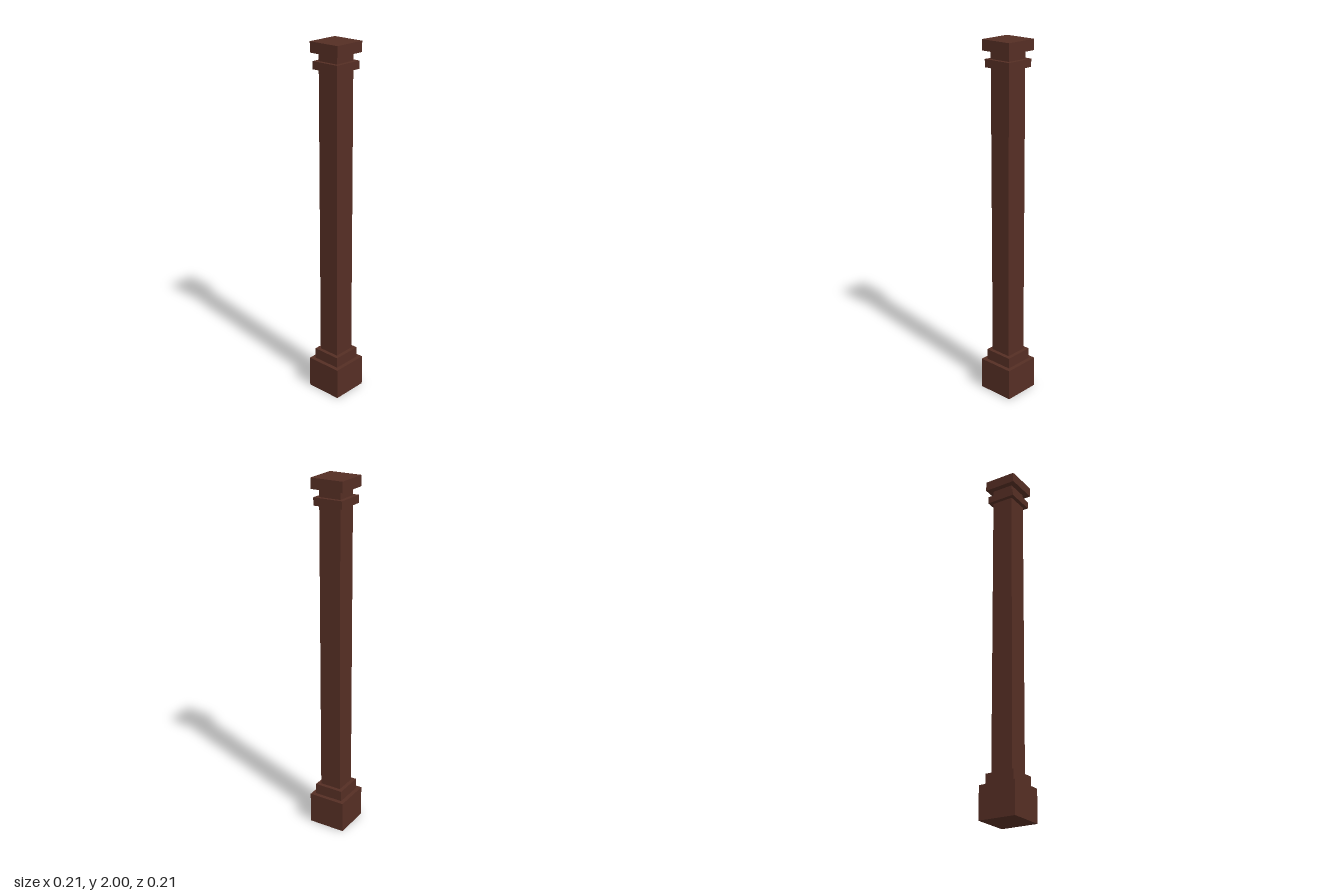
import * as THREE from 'three';

export function createModel() {
  const model = new THREE.Group();
  model.name = 'column';
  const wood = new THREE.MeshStandardMaterial({ color: 0x552e24 });
  wood.name = 'dark brown wood';

  // Square blocks stacked from the ground up: name, width, bottom, top
  const blocks = [
    ['base', 0.213, 0, 0.18],
    ['baseStep', 0.167, 0.18, 0.241],
    ['shaft', 0.124, 0.241, 1.858],
    ['collar', 0.167, 1.858, 1.9],
    ['neck', 0.124, 1.9, 1.943],
    ['cap', 0.186, 1.943, 2],
  ];
  for (const [name, width, bottom, top] of blocks) {
    const mesh = new THREE.Mesh(new THREE.BoxGeometry(width, top - bottom, width), wood);
    mesh.name = name;
    mesh.position.y = (bottom + top) / 2;
    model.add(mesh);
  }
  return model;
}
